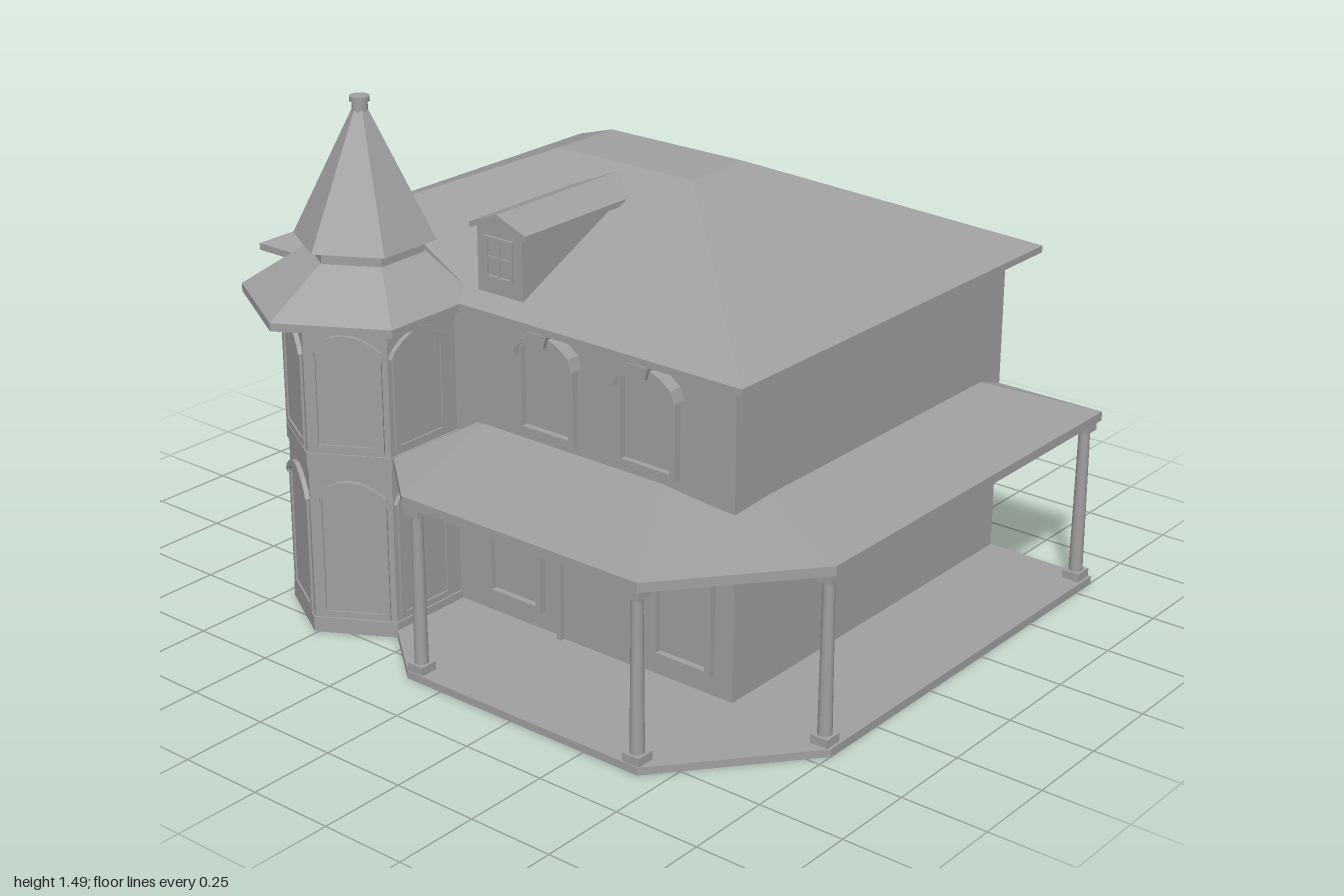
import * as THREE from 'three';

export function createModel() {
  const house = new THREE.Group();
  house.name = 'house';
  const grey = new THREE.MeshStandardMaterial({ color: 0xa0a0a0, side: THREE.DoubleSide });
  grey.name = 'plain grey';

  const add = (parent, name, geometry, x = 0, y = 0, z = 0) => {
    const mesh = new THREE.Mesh(geometry, grey);
    mesh.name = name;
    mesh.position.set(x, y, z);
    parent.add(mesh);
    return mesh;
  };
  const box = (parent, name, w, h, d, x, y, z) => add(parent, name, new THREE.BoxGeometry(w, h, d), x, y, z);

  // Flat-sided skin through rings of [x, z] points at given heights, with optional caps
  function loft(levels, capBottom = true, capTop = true) {
    const pos = [];
    const n = levels[0].ring.length;
    const p = (level, i) => [level.ring[i % n][0], level.y, level.ring[i % n][1]];
    for (let k = 0; k + 1 < levels.length; k++) {
      const a = levels[k], b = levels[k + 1];
      for (let i = 0; i < n; i++) {
        pos.push(...p(a, i), ...p(a, i + 1), ...p(b, i + 1), ...p(a, i), ...p(b, i + 1), ...p(b, i));
      }
    }
    const cap = (level, up) => {
      const flat = level.ring.map(([x, z]) => new THREE.Vector2(x, -z));
      for (const t of THREE.ShapeUtils.triangulateShape(flat, [])) {
        for (const i of up ? t : [t[0], t[2], t[1]]) pos.push(...p(level, i));
      }
    };
    if (capBottom) cap(levels[0], false);
    if (capTop) cap(levels[levels.length - 1], true);
    const g = new THREE.BufferGeometry();
    g.setAttribute('position', new THREE.Float32BufferAttribute(pos, 3));
    g.computeVertexNormals();
    return g;
  }
  const rect = (x0, x1, z0, z1) => [[x0, z1], [x1, z1], [x1, z0], [x0, z0]];
  const hex = (cz, r) => Array.from({ length: 6 }, (_, i) => {
    const a = i * Math.PI / 3;
    return [-0.51 + r * Math.sin(a), cz + r * Math.cos(a)];
  });

  // Main body, open underneath
  const body = rect(-0.93, 0.66, -0.83, 0.42);
  add(house, 'walls', loft([{ y: 0, ring: body }, { y: 0.935, ring: body }], false, false));

  // Hipped roof with a flat deck
  const eave = rect(-1, 0.73, -0.91, 0.49);
  add(house, 'mainRoof', loft([
    { y: 0.93, ring: eave }, { y: 0.95, ring: eave },
    { y: 1.22, ring: rect(-0.37, 0.11, -0.32, -0.09) },
  ]));

  // Arched outlines used by every window
  function arch(Type, hw, y0, spring, rise) {
    const s = new Type();
    s.moveTo(-hw, y0);
    s.lineTo(hw, y0);
    s.lineTo(hw, spring);
    s.quadraticCurveTo(0, spring + 2 * rise, -hw, spring);
    s.closePath();
    return s;
  }
  const extrude = (shape, depth) => new THREE.ExtrudeGeometry(shape, { depth, bevelEnabled: false, curveSegments: 6 });

  // Arched frame with a hood band over its head; local +z points out of the wall
  function archedWindow(name, hw, h, frameDepth, hoodDepth, hoodHw, keystone) {
    const g = new THREE.Group();
    g.name = name;
    const spring = h - 0.05, t = 0.018;
    const frame = arch(THREE.Shape, hw, 0, spring, 0.025);
    frame.holes.push(arch(THREE.Path, hw - t, t, spring - 0.012, 0.025));
    add(g, 'windowFrame', extrude(frame, frameDepth));
    add(g, 'windowPane', extrude(arch(THREE.Shape, hw - t, t, spring - 0.012, 0.025), 0.003));
    const hood = new THREE.Shape();
    const foot = keystone ? h - 0.085 : spring - 0.02, inner = hw - t * 0.7;
    hood.moveTo(inner, foot);
    hood.lineTo(hoodHw, foot);
    hood.lineTo(hoodHw - 0.012, spring);
    hood.quadraticCurveTo(0, h + 0.038, -hoodHw + 0.012, spring);
    hood.lineTo(-hoodHw, foot);
    hood.lineTo(-inner, foot);
    hood.lineTo(-inner, spring - 0.01);
    hood.quadraticCurveTo(0, h + 0.005, inner, spring - 0.01);
    add(g, 'windowHood', extrude(hood, hoodDepth));
    if (keystone) {
      const key = new THREE.Shape([[-0.025, h - 0.035], [0.025, h - 0.035], [0.036, h], [-0.036, h]]
        .map(([x, y]) => new THREE.Vector2(x, y)));
      add(g, 'keystone', extrude(key, hoodDepth + 0.012));
    }
    return g;
  }

  // House windows: x, y, z, turn, height
  const back = Math.PI;
  for (const [x, y, z, turn, h] of [
    [0.035, 0.61, 0.42, 0, 0.31], [0.38, 0.61, 0.42, 0, 0.31],
    [-0.09, 0.08, 0.42, 0, 0.38], [0.5, 0.08, 0.42, 0, 0.38],
    [0.38, 0.61, -0.83, back, 0.31], [-0.67, 0.61, -0.83, back, 0.31], [-0.13, 0.08, -0.83, back, 0.38],
    [-0.93, 0.61, -0.2, -Math.PI / 2, 0.31],
  ]) {
    const w = archedWindow('window', 0.1, h, 0.022, 0.042, 0.112, true);
    w.position.set(x, y, z);
    w.rotation.y = turn;
    house.add(w);
  }

  // Front door
  const door = new THREE.Group();
  door.name = 'frontDoor';
  house.add(door);
  for (const x of [0.075, 0.35]) box(door, 'doorJamb', 0.016, 0.44, 0.025, x, 0.24, 0.43);
  box(door, 'doorHead', 0.291, 0.016, 0.025, 0.2125, 0.455, 0.43);
  box(door, 'doorLeaf', 0.26, 0.43, 0.008, 0.2125, 0.235, 0.423);

  // Corner tower, joined to the front wall
  const tower = new THREE.Group();
  tower.name = 'tower';
  house.add(tower);
  const bay = (o) => [[-0.71 - o, 0.42], [-0.71 - o, 0.68 + o / 2], [-0.51, 0.797 + o], [-0.31 + o, 0.68 + o / 2], [-0.31 + o, 0.42]];
  const band = (name, y0, y1, o, caps) =>
    add(tower, name, loft([{ y: y0, ring: bay(o) }, { y: y1, ring: bay(o) }], false, caps));
  band('towerWalls', 0, 0.94, 0, false);
  band('towerPlinth', 0, 0.045, 0.006, true);
  band('towerBelt', 0.495, 0.54, 0.005, true);
  for (const a of [-90, -30, 30, 90].map(THREE.MathUtils.degToRad)) {
    for (const [y, h] of [[0.05, 0.42], [0.55, 0.345]]) {
      const w = archedWindow('towerWindow', 0.1, h, 0.008, 0.014, 0.112, false);
      w.position.set(-0.51 + 0.2 * Math.sin(a), y, 0.565 + 0.2 * Math.cos(a));
      w.rotation.y = a;
      tower.add(w);
    }
  }
  // Flared lower roof, neck, spire and finial
  add(tower, 'towerSkirtRoof', loft([
    { y: 0.925, ring: hex(0.58, 0.33) }, { y: 0.948, ring: hex(0.58, 0.33) }, { y: 1.06, ring: hex(0.55, 0.17) },
  ]));
  add(tower, 'towerNeck', loft([{ y: 1.05, ring: hex(0.55, 0.165) }, { y: 1.1, ring: hex(0.55, 0.165) }]));
  add(tower, 'towerSpire', loft([{ y: 1.095, ring: hex(0.55, 0.2) }, { y: 1.45, ring: hex(0.55, 0.023) }]));
  add(tower, 'finialStem', new THREE.CylinderGeometry(0.022, 0.022, 0.04, 12), -0.51, 1.46, 0.55);
  add(tower, 'finialCap', new THREE.CylinderGeometry(0.028, 0.028, 0.014, 12), -0.51, 1.481, 0.55);

  // Wraparound porch
  const porch = new THREE.Group();
  porch.name = 'porch';
  house.add(porch);
  const floor = [[-0.31, 0.42], [-0.31, 0.68], [-0.12, 0.835], [0.68, 0.835], [1, 0.45], [1, -0.83], [0.66, -0.83], [0.66, 0.42]];
  add(porch, 'porchFloor', loft([{ y: 0, ring: floor }, { y: 0.022, ring: floor }]));
  // The roof runs through the wall to an inner ridge
  const edge = [[-0.31, 0.38], [-0.31, 0.67], [-0.12, 0.835], [0.68, 0.835], [1, 0.45], [1, -0.83], [0.5, -0.828], [0.5, 0.2], [0.4, 0.38]];
  const top = [[-0.22, 0.38], [-0.22, 0.381], [-0.215, 0.382], [0.4, 0.382], [0.502, 0.2], [0.502, -0.68], [0.5, -0.68], [0.5, 0.2], [0.4, 0.38]];
  add(porch, 'porchRoof', loft([{ y: 0.51, ring: edge }, { y: 0.537, ring: edge }, { y: 0.587, ring: top }], true, false));

  // Turned posts with square feet and capitals
  for (const [x, z] of [[-0.095, 0.805], [0.655, 0.805], [0.965, 0.43], [0.965, -0.8]]) {
    const post = new THREE.Group();
    post.name = 'porchPost';
    post.position.set(x, 0, z);
    porch.add(post);
    add(post, 'postShaft', new THREE.CylinderGeometry(0.016, 0.02, 0.45, 12), 0, 0.265, 0);
    box(post, 'postFoot', 0.054, 0.025, 0.054, 0, 0.034, 0);
    box(post, 'postCapital', 0.048, 0.03, 0.048, 0, 0.496, 0);
  }

  // Gabled dormer on the front slope
  const dormer = new THREE.Group();
  dormer.name = 'dormer';
  dormer.position.x = -0.127;
  house.add(dormer);
  const outline = (pts) => new THREE.Shape(pts.map(([x, y]) => new THREE.Vector2(x, y)));
  add(dormer, 'dormerBody', extrude(outline([[-0.08, 0.975], [0.08, 0.975], [0.08, 1.16], [0, 1.195], [-0.08, 1.16]]), 0.43));
  add(dormer, 'dormerRoof', extrude(outline([
    [-0.1, 1.152], [0, 1.19], [0.1, 1.152], [0.1, 1.168], [0, 1.207], [-0.1, 1.168]]), 0.5), 0, 0, -0.06);
  for (const s of [-1, 1]) {
    box(dormer, 'dormerWindowSide', 0.01, 0.11, 0.008, s * 0.045, 1.08, 0.434);
    box(dormer, 'dormerWindowRail', 0.1, 0.01, 0.008, 0, 1.08 + s * 0.055, 0.434);
  }
  box(dormer, 'dormerMullion', 0.008, 0.11, 0.006, 0, 1.08, 0.433);
  box(dormer, 'dormerCrossbar', 0.09, 0.008, 0.006, 0, 1.08, 0.433);

  return house;
}
